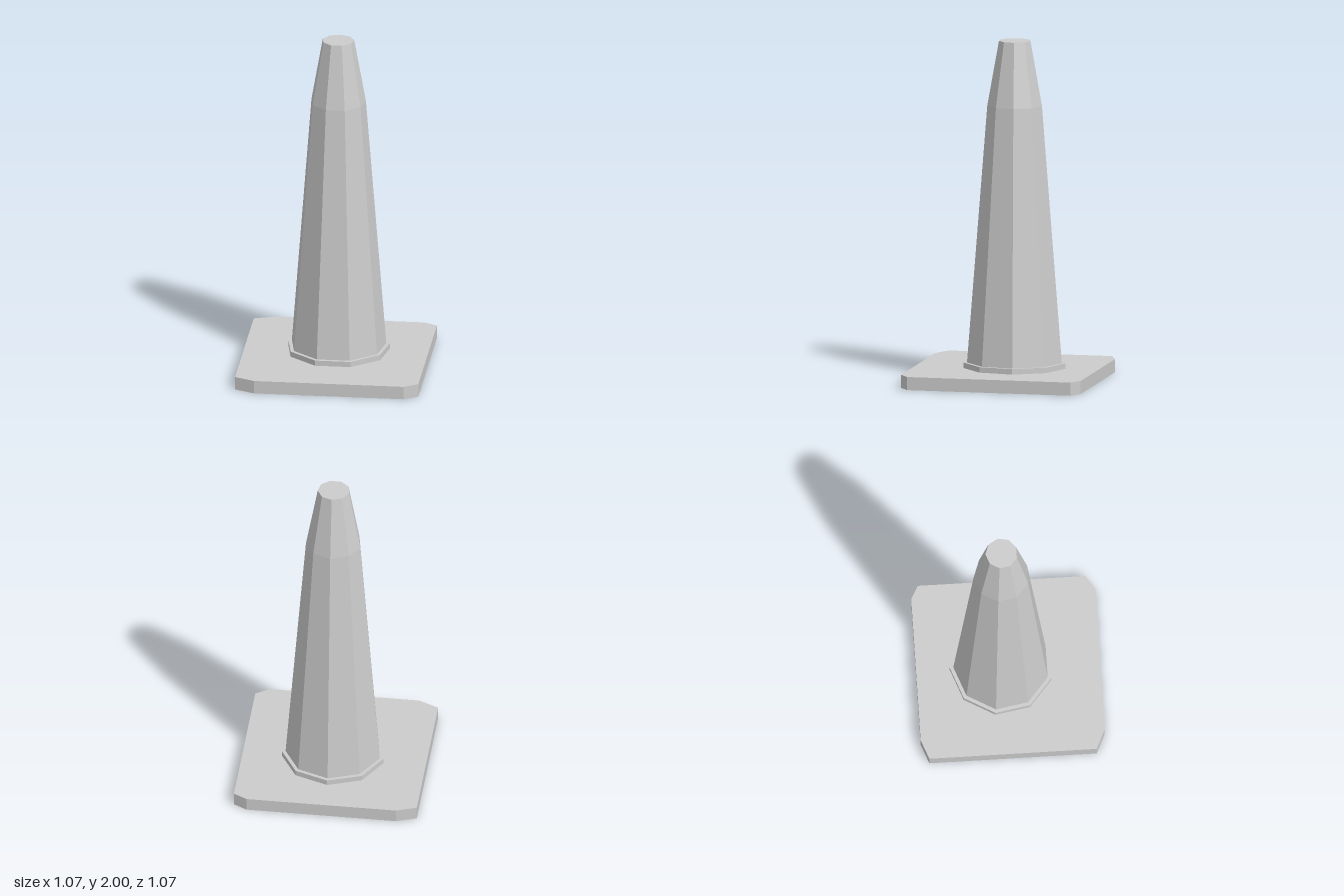
import * as THREE from 'three';

const SIDES = 9;
const BASE_TOP = 0.077;
const COLLAR_TOP = 0.109;

export function createModel() {
  const material = new THREE.MeshStandardMaterial({ color: 0xcccccc, flatShading: true });
  const model = new THREE.Group();
  model.name = 'trafficCone';

  const addPart = (name, geometry, parent) => {
    const mesh = new THREE.Mesh(geometry, material);
    mesh.name = name;
    parent.add(mesh);
    return mesh;
  };

  // Square base plate with slightly uneven clipped corners, outlined as [x, z]
  const outline = [
    [-0.42, 0.537], [0.457, 0.537], [0.537, 0.483], [0.537, -0.494],
    [0.457, -0.537], [-0.42, -0.537], [-0.537, -0.494], [-0.537, 0.483],
  ];
  const plate = new THREE.Shape(outline.map(([x, z]) => new THREE.Vector2(x, -z)));
  const plateGeometry = new THREE.ExtrudeGeometry(plate, { depth: BASE_TOP, bevelEnabled: false });
  addPart('basePlate', plateGeometry.rotateX(-Math.PI / 2), model);

  // Nine-sided upright, set slightly off the plate's centre with a corner to the back
  const upright = new THREE.Group();
  upright.name = 'upright';
  upright.position.set(0.009, 0, -0.039);
  upright.rotation.y = Math.PI;
  model.add(upright);

  // Low collar where the cone meets the plate
  const collarHeight = COLLAR_TOP - BASE_TOP;
  const collar = new THREE.CylinderGeometry(0.303, 0.303, collarHeight, SIDES);
  addPart('collar', collar, upright).position.y = BASE_TOP + collarHeight / 2;

  // Tapered cone with a steeper tip and a flat closed top
  const profile = [[0, COLLAR_TOP], [0.281, COLLAR_TOP], [0.162, 1.62], [0.0935, 2], [0, 2]]
    .map(([r, y]) => new THREE.Vector2(r, y));
  addPart('coneBody', new THREE.LatheGeometry(profile, SIDES), upright);

  return model;
}
